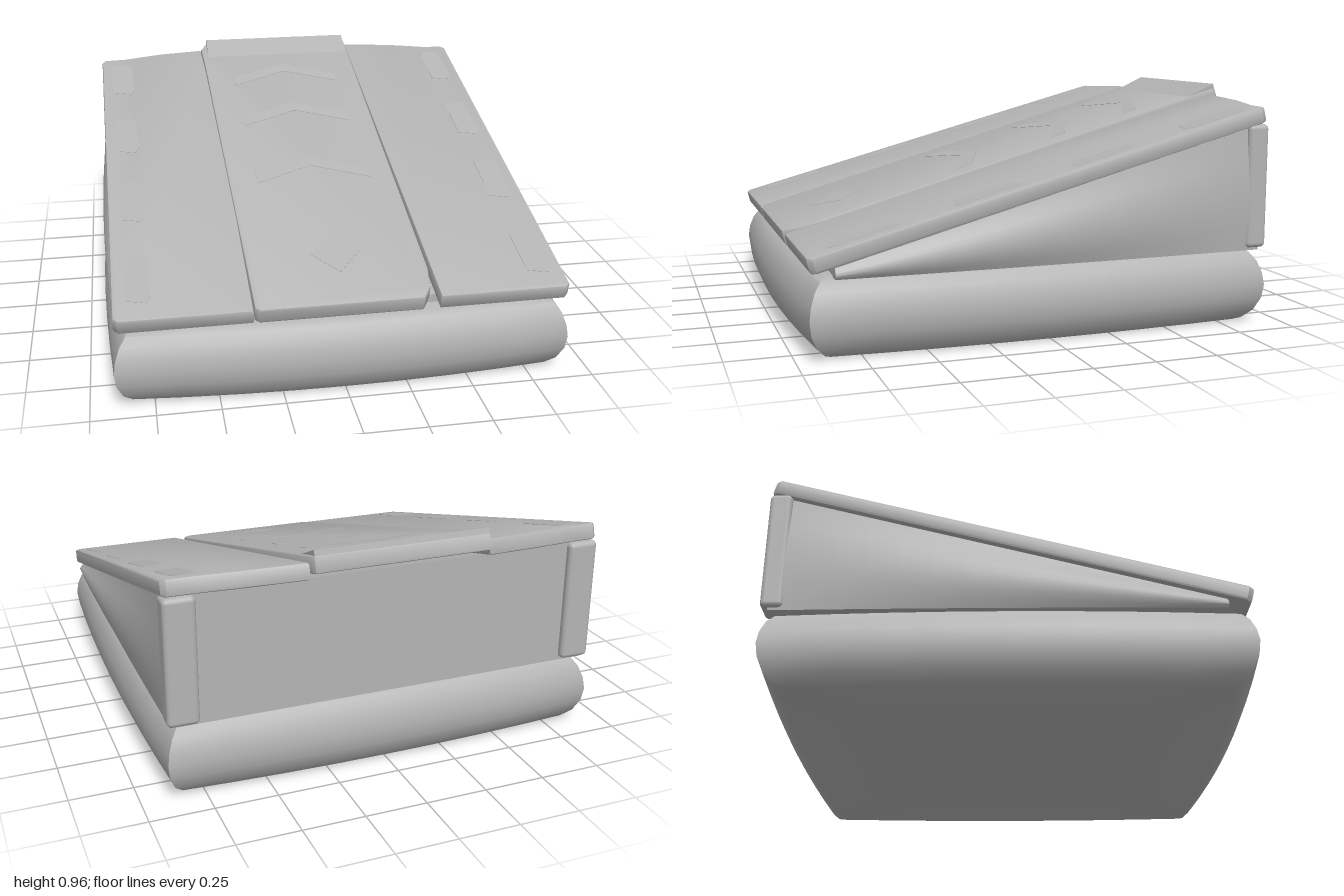
import * as THREE from 'three';
import { toCreasedNormals } from 'three/addons/utils/BufferGeometryUtils.js';
import { RoundedBoxGeometry } from 'three/addons/geometries/RoundedBoxGeometry.js';

const stone = new THREE.MeshStandardMaterial({ color: 0xb4b4b4 });
stone.name = 'grey stone';

function add(parent, name, geometry) {
  const mesh = new THREE.Mesh(geometry, stone);
  mesh.name = name;
  parent.add(mesh);
  return mesh;
}

const polygon = (pts) => new THREE.Shape(pts.map(([x, y]) => new THREE.Vector2(x, y)));

// Slab with softened edges, outline in (x, distance up the slope)
function slab(pts, depth, bevel) {
  const g = new THREE.ExtrudeGeometry(polygon(pts), {
    depth: depth - 2 * bevel, bevelEnabled: bevel > 0, bevelSize: bevel,
    bevelThickness: bevel, bevelOffset: -bevel, bevelSegments: 2,
  });
  g.translate(0, 0, bevel);
  return toCreasedNormals(g, 0.7);
}

// Cushion-like base: bulged rectangular rings stacked along a rounded profile
function baseGeometry() {
  const profile = [[0.09, 0], [0.065, 0.012], [0.03, 0.05], [0.007, 0.105], [0, 0.16],
    [0.007, 0.21], [0.025, 0.26], [0.05, 0.295], [0.08, 0.312]];
  const n = 8, count = 4 * n, pos = [], idx = [];
  for (const [inset, y] of profile) {
    const w = 0.9 - inset, f = 0.955 - inset, b = 0.92 - inset;
    for (let side = 0; side < 4; side++) {
      for (let i = 0; i < n; i++) {
        const u = -1 + (2 * i) / n, bulge = 1 - u * u;
        const along = f - ((u + 1) / 2) * (f + b);
        if (side === 0) pos.push(u * w, y, f + 0.045 * bulge);
        else if (side === 1) pos.push(w + 0.03 * bulge, y, along);
        else if (side === 2) pos.push(-u * w, y, -b - 0.03 * bulge);
        else pos.push(-w - 0.03 * bulge, y, f - b - along);
      }
    }
  }
  for (let r = 0; r < profile.length - 1; r++) {
    for (let i = 0; i < count; i++) {
      const a = r * count + i, b = r * count + ((i + 1) % count);
      idx.push(a, b, b + count, a, b + count, a + count);
    }
  }
  const last = (profile.length - 1) * count, c = pos.length / 3;
  pos.push(0, 0, 0, 0, 0.312, 0);
  for (let i = 0; i < count; i++) {
    const j = (i + 1) % count;
    idx.push(c, j, i, c + 1, last + i, last + j);
  }
  const g = new THREE.BufferGeometry();
  g.setAttribute('position', new THREE.Float32BufferAttribute(pos, 3));
  g.setIndex(idx);
  return toCreasedNormals(g, 0.7);
}

// Wedge body: a box sloped on top, with softly bulging sides
function bodyGeometry() {
  const g = new THREE.BoxGeometry(2, 1, 1, 2, 8, 14);
  const p = g.attributes.position;
  for (let i = 0; i < p.count; i++) {
    const t = p.getY(i) + 0.5;
    const z = -0.02 + p.getZ(i) * 1.75;
    const top = 0.327 + 0.27 * (0.943 - z) - 0.005;
    const half = 0.875 + 0.045 * Math.sin(Math.PI * Math.min(1, t * 0.95 + 0.1)) * Math.cos(z * 1.4);
    p.setXYZ(i, p.getX(i) * half, 0.305 + t * (top - 0.305), z);
  }
  return toCreasedNormals(g, 0.7);
}

// Group whose local +y runs up the slope and +z is the slope normal
function slope(name, angle) {
  const g = new THREE.Group();
  g.name = name;
  g.position.set(0, 0.327, 0.943);
  g.rotation.x = angle - Math.PI / 2;
  return g;
}

export function createModel() {
  const model = new THREE.Group();
  model.name = 'slopedBlock';
  add(model, 'base', baseGeometry());
  add(model, 'wedgeBody', bodyGeometry());

  // Rear corner posts and the hairline gouges in the side walls
  for (const s of [-1, 1]) {
    const post = add(model, 'rearPost', new RoundedBoxGeometry(0.125, 0.505, 0.09, 3, 0.02));
    post.position.set(s * 0.833, 0.568, -0.88);
  }

  // Outer planks with ragged slanted rear ends
  const sides = slope('outerPlanks', 0.2635);
  model.add(sides);
  for (const s of [-1, 1]) {
    const pts = [[0.365, 0], [0.875, 0], [0.893, 0.02], [0.893, 1.91], [0.875, 1.93],
      [0.78, 1.935], [0.71, 1.95], [0.6, 1.972], [0.365, 1.997]].map(([x, v]) => [s * x, v]);
    add(sides, s > 0 ? 'leftPlank' : 'rightPlank', slab(pts, 0.065, 0.01));
    // Shallow rectangular marks along the outer edge
    for (const v of [0.23, 0.73, 1.23, 1.73]) {
      const mark = add(sides, 'edgeMark', slab([[-0.05, -0.12], [0.035, -0.14], [0.05, -0.1],
        [0.045, 0.12], [0.03, 0.14], [-0.05, 0.13]], 0.003, 0));
      mark.position.set(s * 0.795, v, 0.0635);
    }
  }

  // Centre plank, a little steeper, with chipped corners
  const centre = slope('centrePlank', 0.274);
  model.add(centre);
  add(centre, 'centreBoard', slab([[-0.36, 0.015], [-0.34, 0], [0.3, 0], [0.335, 0.06], [0.352, 0.17],
    [0.36, 2.0], [0.35, 2.02], [-0.36, 2.02], [-0.392, 1.96], [-0.385, 1.8]], 0.067, 0.008));

  // Raised lip at the rear end
  const lip = new THREE.ExtrudeGeometry(polygon([[1.86, 0.064], [2.018, 0.055], [2.018, 0.087]]),
    { depth: 0.71, bevelEnabled: false });
  lip.applyMatrix4(new THREE.Matrix4().set(0, 0, 1, -0.36, 1, 0, 0, 0, 0, 1, 0, 0, 0, 0, 0, 1));
  add(centre, 'rearLip', lip);

  // Shallow chevrons and a diamond
  for (const v of [0.96, 1.41, 1.77]) {
    const mark = add(centre, 'chevron', slab([[-0.25, -0.17], [0, -0.06], [0.25, -0.17],
      [0.25, -0.1], [0, 0.01], [-0.25, -0.1]], 0.003, 0));
    mark.position.set(0, v, 0.0655);
  }
  add(centre, 'diamond', slab([[-0.1, 0.3], [0, 0.18], [0.1, 0.3], [0, 0.42]], 0.003, 0))
    .position.z = 0.0655;
  return model;
}
